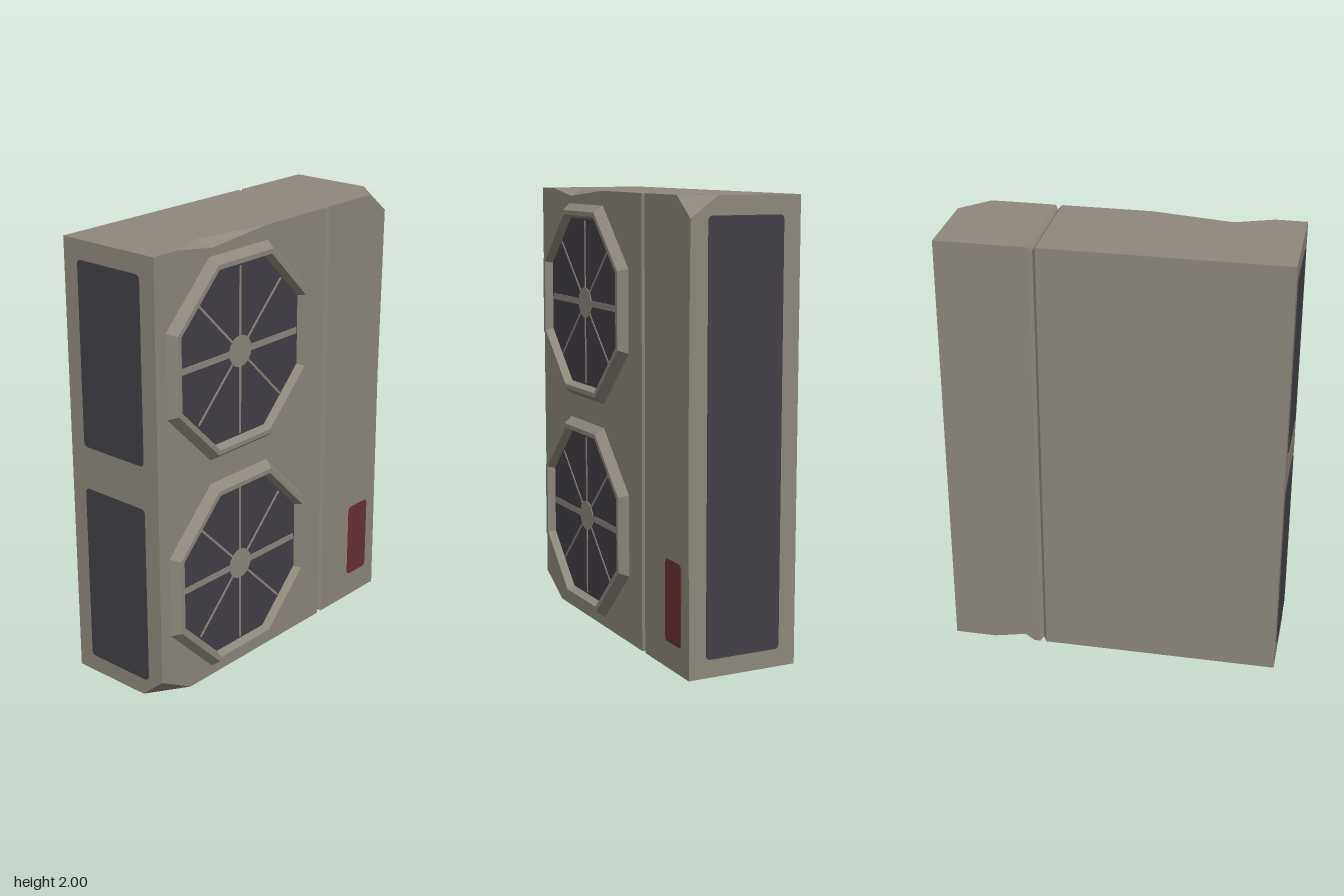
import * as THREE from 'three';

const casing = new THREE.MeshStandardMaterial({ color: 0x8e887d, flatShading: true });
casing.name = 'casing grey';
const dark = new THREE.MeshStandardMaterial({ color: 0x424047, flatShading: true });
dark.name = 'grille dark';
const red = new THREE.MeshStandardMaterial({ color: 0x683232, flatShading: true });
red.name = 'label red';

// Main planes of the cabinet
const L = -0.76, R = 0.32, G = 0.335, S = 0.35, E = 0.76, H = 2, B = -0.275, F = 0.235, IN = 0.015;

// Flat faces, each fanned from its first corner
function shell(faces) {
  const pos = [];
  for (const f of faces)
    for (let i = 1; i < f.length - 1; i++) pos.push(...f[0], ...f[i], ...f[i + 1]);
  const g = new THREE.BufferGeometry();
  g.setAttribute('position', new THREE.Float32BufferAttribute(pos, 3));
  g.computeVertexNormals();
  return g;
}

function add(parent, name, geometry, material, x = 0, y = 0, z = 0) {
  const m = new THREE.Mesh(geometry, material);
  m.name = name;
  m.position.set(x, y, z);
  parent.add(m);
  return m;
}

// Rectangle loop across the cabinet at x, inset by d
const loop = (x, d) => [[x, d, F - d], [x, d, B + d], [x, H - d, B + d], [x, H - d, F - d]];
// Sloped band joining two loops, from smaller to larger x
function band(a, b) {
  return a.map((p, i) => {
    const j = (i + 1) % 4;
    return [p, a[j], b[j], b[i]];
  });
}

// Wide cabinet half: chipped lower corner and dented top edge
function mainCabinet() {
  const c1 = [L, 0.1, F], c2 = [-0.58, 0, F], c3 = [L, 0, 0.12];
  const n = [-0.42, 1.97, F], t = [-0.45, H, 0.17], a = [-0.62, H, F], b = [-0.08, H, F];
  return shell([
    [n, a, [L, H, F], c1, c2, [R, 0, F], [R, H, F], b],
    [t, b, [R, H, F], [R, H, B], [L, H, B], [L, H, F], a],
    [n, b, t, a],
    [[L, H, B], [L, 0, B], c3, c1, [L, H, F]],
    [[L, 0, B], [R, 0, B], [R, 0, F], c2, c3],
    [[R, 0, B], [L, 0, B], [L, H, B], [R, H, B]],
    [c1, c3, c2],
  ]);
}

// Narrow cabinet half: chipped top corner, worn front edge, nicked back edge
function sideCabinet() {
  const k1 = [0.64, H, F], k2 = [E, 1.91, F], k3 = [E, H, 0.11];
  const d = [0.75, 1.1, F], dz = [E, 1.1, 0.215];
  const b1 = [0.57, 0, B], b2 = [0.38, 0, B], b3 = [0.42, 0.03, B], b4 = [0.46, 0, B + 0.06];
  return shell([
    [d, k2, k1, [S, H, F], [S, 0, F], [E, 0, F]],
    [d, [E, 0, F], dz, k2],
    [dz, [E, 0, F], [E, 0, B], [E, H, B], k3, k2],
    [k1, k3, [E, H, B], [S, H, B], [S, H, F]],
    [k1, k2, k3],
    [b4, b1, [E, 0, B], [E, 0, F], [S, 0, F], [S, 0, B], b2],
    [b3, b2, [S, 0, B], [S, H, B], [E, H, B], [E, 0, B], b1],
    [b3, b1, b4, b2],
  ]);
}

// Thin plate with small rounded corners, facing +z
function plate(w, h, r = 0.02) {
  const s = new THREE.Shape(), x = w / 2, y = h / 2;
  s.moveTo(-x + r, -y);
  s.lineTo(x - r, -y).quadraticCurveTo(x, -y, x, -y + r);
  s.lineTo(x, y - r).quadraticCurveTo(x, y, x - r, y);
  s.lineTo(-x + r, y).quadraticCurveTo(-x, y, -x, y - r);
  s.lineTo(-x, -y + r).quadraticCurveTo(-x, -y, -x + r, -y);
  return new THREE.ExtrudeGeometry(s, { depth: 0.004, bevelEnabled: false, curveSegments: 3 });
}

// Octagonal fan: raised rim, dark disc, spokes and hub
function fan(y) {
  const g = new THREE.Group();
  g.name = 'fan';
  g.position.set(-0.255, y, F);
  const k = 1 / Math.cos(Math.PI / 8);
  const profile = [[0.445, 0], [0.415, 0.04], [0.395, 0.04], [0.38, 0.004]]
    .map(([r, h]) => new THREE.Vector2(r * k, h));
  const rim = new THREE.LatheGeometry(profile, 8, Math.PI / 8);
  add(g, 'fanRim', rim.rotateX(Math.PI / 2), casing);
  add(g, 'fanDisc', new THREE.CircleGeometry(0.385 * k, 8, Math.PI / 8), dark, 0, 0, 0.005);
  for (let i = 0; i < 4; i++) {
    const spoke = new THREE.BoxGeometry(0.745, i === 0 ? 0.028 : 0.01, 0.004);
    add(g, 'fanSpoke', spoke, casing, 0, 0, 0.006).rotation.z = i * Math.PI / 4;
  }
  const hub = new THREE.CylinderGeometry(0.07, 0.07, 0.006, 16).rotateX(Math.PI / 2);
  add(g, 'fanHub', hub, casing, 0, 0, 0.006);
  return g;
}

export function createModel() {
  const model = new THREE.Group();
  model.name = 'outdoorUnit';
  add(model, 'mainCabinet', mainCabinet(), casing);
  add(model, 'sideCabinet', sideCabinet(), casing);

  // V-shaped seam running all round between the halves
  const seam = [...band(loop(R, 0), loop(G, IN)), ...band(loop(G, IN), loop(S, 0))]
    .map((f) => f.slice().reverse());
  const seamMesh = shell(seam);
  // Make the seam face outward whichever way its loops run
  const p = seamMesh.attributes.position, nrm = seamMesh.attributes.normal;
  if (nrm.getY(0) * (p.getY(0) - H / 2) < 0) {
    seamMesh.copy(shell(seam.map((f) => f.slice().reverse())));
  }
  add(model, 'cabinetSeam', seamMesh, casing);

  for (const y of [1.49, 0.49]) model.add(fan(y));

  // Side grilles: one long on the left, two short on the right
  add(model, 'leftGrille', plate(0.35, 1.84), dark, E, 1, -0.02).rotation.y = Math.PI / 2;
  for (const y of [1.505, 0.49])
    add(model, 'rightGrille', plate(0.35, 0.82), dark, L, y, -0.02).rotation.y = -Math.PI / 2;

  add(model, 'warningPlate', plate(0.14, 0.36), red, 0.62, 0.3, F);
  return model;
}
